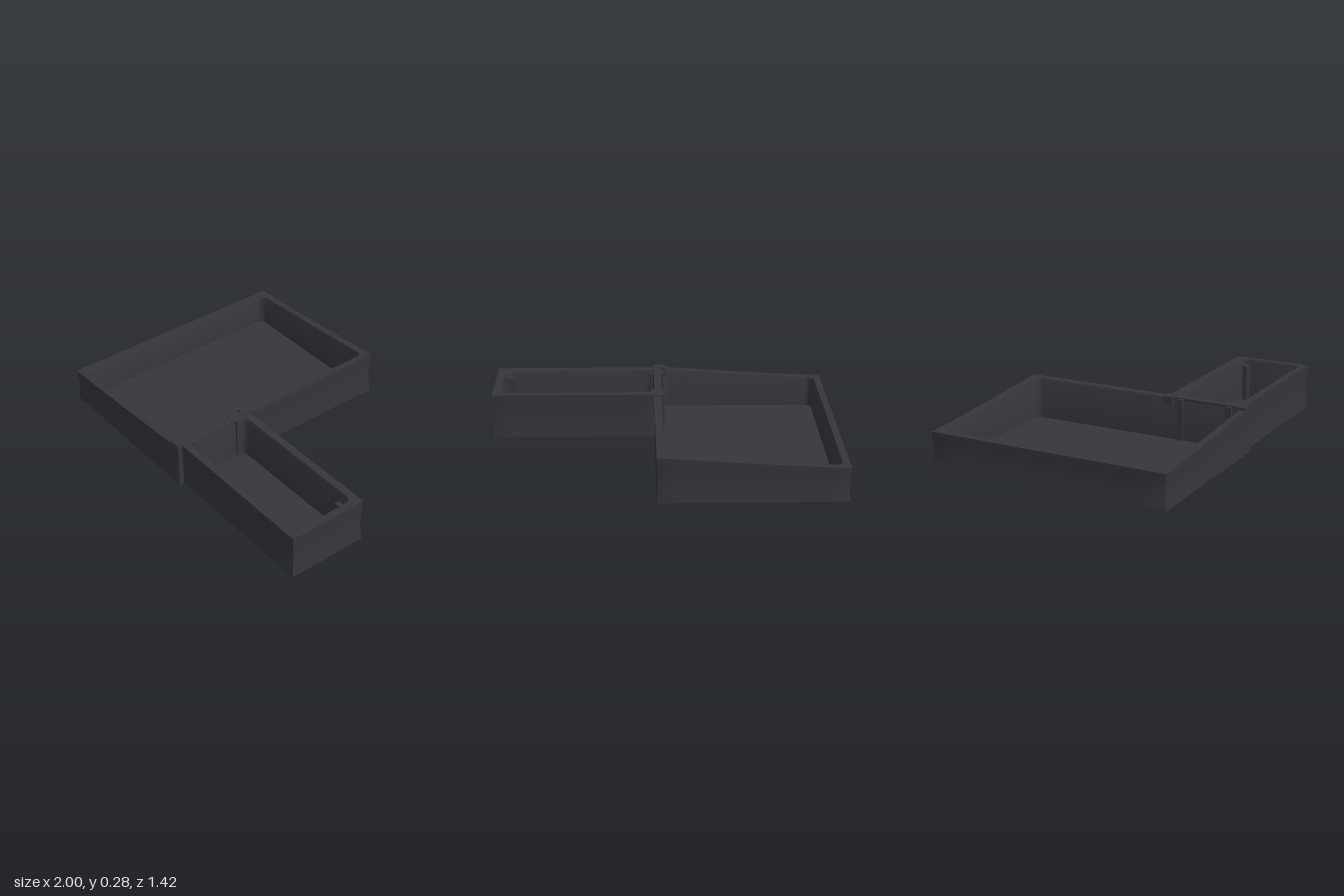
import * as THREE from 'three';
import { toCreasedNormals } from 'three/addons/utils/BufferGeometryUtils.js';

// Rounded rectangle, counterclockwise from above, with subdivided straight sides
function loop(x0, x1, z0, z1, r, corner = 5, side = 10) {
  const centres = [[x1 - r, z0 + r], [x0 + r, z0 + r], [x0 + r, z1 - r], [x1 - r, z1 - r]];
  const pts = [];
  centres.forEach(([cx, cz], k) => {
    for (let i = 0; i <= corner; i++) {
      const a = (k + i / corner) * Math.PI / 2;
      pts.push([cx + r * Math.cos(a), cz - r * Math.sin(a)]);
    }
    const [nx, nz] = centres[(k + 1) % 4];
    const b = (k + 1) * Math.PI / 2;
    const end = [nx + r * Math.cos(b), nz - r * Math.sin(b)];
    const start = pts[pts.length - 1];
    for (let i = 1; i < side; i++) {
      const t = i / side;
      pts.push([start[0] + (end[0] - start[0]) * t, start[1] + (end[1] - start[1]) * t]);
    }
  });
  return pts;
}

// Open tray lofted from the underside, up the outer wall, over the rim and down to the floor
function trayGeometry(x0, x1, z0, z1, wall, floor, height) {
  // inset, fraction of rim height, corner radius
  const rings = [
    [0, 0, 0.001], [0.003, 0.25, 0.001], [0.007, 0.5, 0.001], [0.003, 0.75, 0.001],
    [0, 0.92, 0.001], [0, 1, 0.001],
    [wall - 0.006, 1, 0.04], [wall, 0.95, 0.04], [wall + 0.008, floor, 0.04],
  ];
  const cx = (x0 + x1) / 2, cz = (z0 + z1) / 2;
  const rows = rings.map(([d, f, r]) => loop(x0 + d, x1 - d, z0 + d, z1 - d, r)
    .map(([x, z]) => [x, f === floor ? floor : f * height(x), z]));
  const n = rows[0].length;
  const pos = rows.flat(2), index = [];
  for (let j = 0; j < rows.length - 1; j++) {
    for (let i = 0; i < n; i++) {
      const k = (i + 1) % n, a = j * n, b = a + n;
      index.push(a + i, a + k, b + k, a + i, b + k, b + i);
    }
  }
  // underside and floor caps
  const under = rows.length * n, top = under + 1, last = (rows.length - 1) * n;
  pos.push(cx, 0, cz, cx, floor, cz);
  for (let i = 0; i < n; i++) {
    const k = (i + 1) % n;
    index.push(under, k, i, top, last + i, last + k);
  }
  const g = new THREE.BufferGeometry();
  g.setAttribute('position', new THREE.Float32BufferAttribute(pos, 3));
  g.setIndex(index);
  return toCreasedNormals(g, 0.6);
}

export function createModel() {
  const model = new THREE.Group();
  const charcoal = new THREE.MeshStandardMaterial({ color: 0x36353c });
  charcoal.name = 'charcoal';
  const add = (name, geometry) => {
    const mesh = new THREE.Mesh(geometry, charcoal);
    mesh.name = name;
    model.add(mesh);
    return mesh;
  };
  const block = (name, x0, x1, y0, y1, z0, z1) =>
    add(name, new THREE.BoxGeometry(x1 - x0, y1 - y0, z1 - z0))
      .position.set((x0 + x1) / 2, (y0 + y1) / 2, (z0 + z1) / 2);

  // Large tray, its rim rising towards the small tray
  const rise = x => 0.2 + 0.065 * Math.pow(Math.max(0, Math.min(1, (x + 1) / 1.04)), 1.2);
  add('largeTray', trayGeometry(-1, 0.04, -0.71, 0.71, 0.045, 0.02, rise));

  // Small level tray at the side
  add('smallTray', trayGeometry(-0.003, 1, 0.21, 0.68, 0.048, 0.021, () => 0.268));

  // Corner caps where the two trays meet
  block('frontJointCap', -0.035, 0.042, 0.22, 0.275, 0.655, 0.709);
  block('backJointCap', -0.02, 0.042, 0.22, 0.272, 0.195, 0.25);

  // Small posts against the dividing wall and in the far corners
  for (const z of [0.3, 0.6]) {
    block('dividerPost', -0.022, 0.06, 0.015, 0.262, z - 0.018, z + 0.018);
    block('endPost', 0.895, 0.955, 0.015, 0.235, z - 0.015, z + 0.015);
  }
  return model;
}
